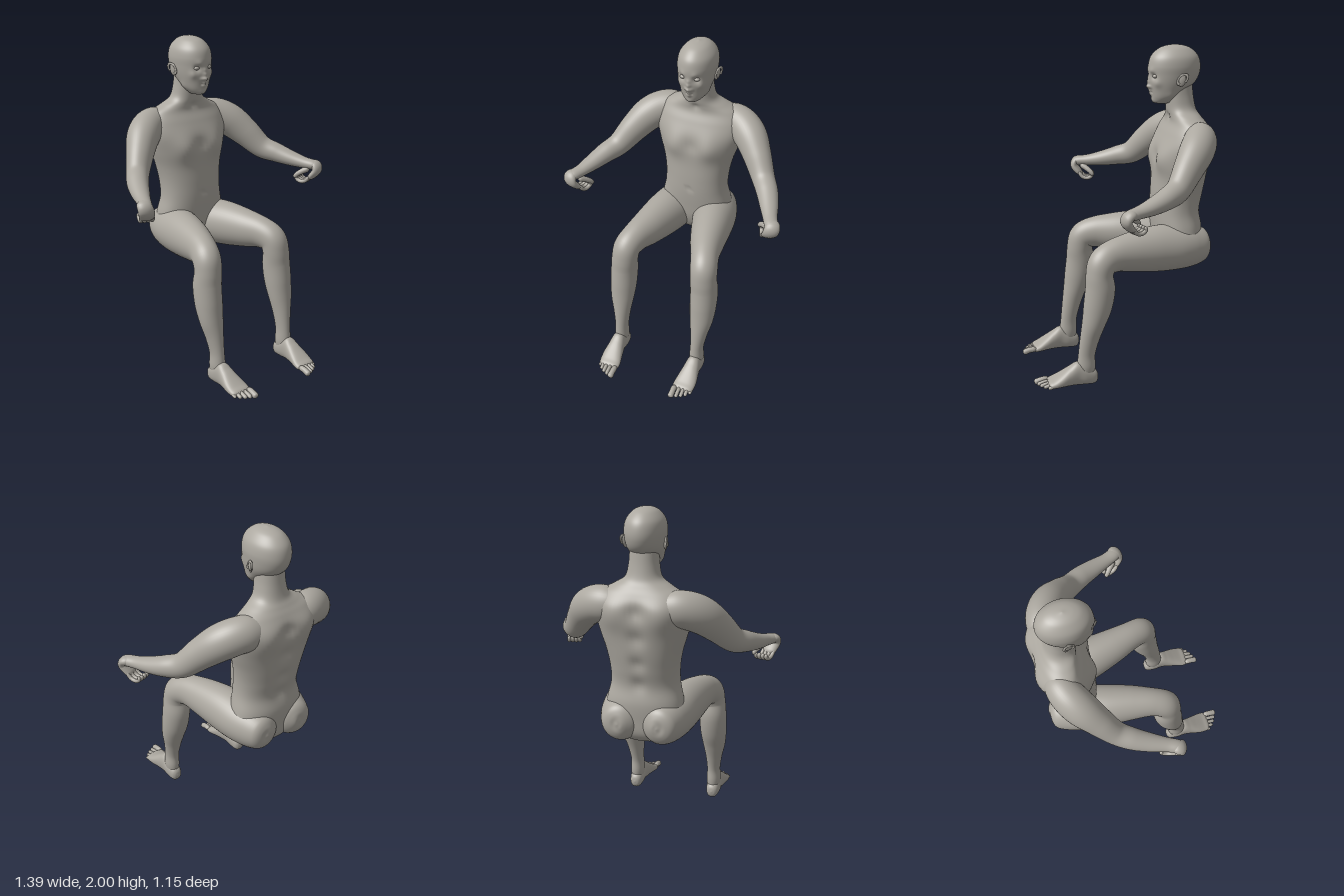
import * as THREE from 'three';

const skin = new THREE.MeshStandardMaterial({ color: 0xaca8a0 });
skin.name = 'skin';
const V = (x, y, z) => new THREE.Vector3(x, y, z);

// Smooth skin through sections [x, y, z, radiusA, radiusB].
// ref: direction of radiusA, axis: fixed ring normal, dome: rounded end length (0..1),
// n: squareness of the section, bumps: [x, y, z, size, dx, dy, dz] soft pushes.
function loft(name, sections, { ref = V(1, 0, 0), axis = null, dome = 0, n = 2, around = 32, steps = 8, bumps = [] } = {}) {
  const path = new THREE.CatmullRomCurve3(sections.map(s => V(s[0], s[1], s[2])), false, 'catmullrom', 0.5);
  const size = new THREE.CatmullRomCurve3(sections.map(s => V(s[3], s[4] ?? s[3], 0)), false, 'catmullrom', 0.5);
  const rows = (sections.length - 1) * steps;
  const pos = [], index = [];
  const power = v => Math.sign(v) * Math.pow(Math.abs(v), 2 / n);
  const push = p => {
    const q = p.clone();
    for (const [x, y, z, r, dx, dy, dz] of bumps) {
      for (const m of x === 0 ? [1] : [1, -1]) {
        const w = Math.exp(-q.distanceToSquared(V(x * m, y, z)) / (r * r));
        p.add(V(dx * m * w, dy * w, dz * w));
      }
    }
    pos.push(p.x, p.y, p.z);
  };
  for (let i = 0; i <= rows; i++) {
    let u = i / rows;
    if (dome) u = (1 - Math.cos(u * Math.PI)) / 2; // denser rings near the ends
    const c = path.getPoint(u), r = size.getPoint(u);
    const t = axis ? axis.clone() : path.getTangent(u);
    const a = ref.clone().addScaledVector(t, -ref.dot(t)).normalize();
    const b = t.clone().cross(a);
    const e = dome ? Math.min(1, u / dome, (1 - u) / dome) : 1;
    const k = Math.sqrt(Math.max(0, 1 - (1 - e) ** 2));
    for (let j = 0; j < around; j++) {
      const th = j / around * Math.PI * 2;
      push(c.clone().addScaledVector(a, power(Math.cos(th)) * Math.max(r.x, 0.001) * k)
        .addScaledVector(b, power(Math.sin(th)) * Math.max(r.y, 0.001) * k));
    }
  }
  for (let i = 0; i < rows; i++) for (let j = 0; j < around; j++) {
    const p = i * around + j, q = i * around + (j + 1) % around;
    index.push(p, q, p + around, q, q + around, p + around);
  }
  // close both ends
  const first = pos.length / 3, last = rows * around;
  push(path.getPoint(0));
  push(path.getPoint(1));
  for (let j = 0; j < around; j++) {
    const k = (j + 1) % around;
    index.push(first, k, j, first + 1, last + j, last + k);
  }
  const g = new THREE.BufferGeometry();
  g.setAttribute('position', new THREE.Float32BufferAttribute(pos, 3));
  g.setIndex(index);
  g.computeVertexNormals();
  const mesh = new THREE.Mesh(g, skin);
  mesh.name = name;
  return mesh;
}

function ball(name, p, scale, rot = [0, 0, 0]) {
  const m = new THREE.Mesh(new THREE.SphereGeometry(1, 24, 16), skin);
  m.name = name;
  m.position.set(...p);
  m.scale.set(...scale);
  m.rotation.set(...rot);
  return m;
}

function makeTorso() {
  return loft('torso', [
    [0, 0.652, -0.40, 0.03, 0.03], [0, 0.67, -0.40, 0.12, 0.08], [0, 0.72, -0.395, 0.20, 0.12],
    [0, 0.80, -0.385, 0.235, 0.14], [0, 0.90, -0.382, 0.225, 0.148], [0, 1.0, -0.372, 0.203, 0.143],
    [0, 1.1, -0.382, 0.203, 0.15], [0, 1.2, -0.394, 0.22, 0.155], [0, 1.3, -0.402, 0.25, 0.158],
    [0, 1.4, -0.412, 0.275, 0.155], [0, 1.48, -0.428, 0.275, 0.137], [0, 1.54, -0.43, 0.235, 0.108],
    [0, 1.58, -0.418, 0.165, 0.095], [0, 1.62, -0.403, 0.105, 0.088], [0, 1.69, -0.392, 0.086, 0.084],
    [0, 1.78, -0.385, 0.08, 0.08],
  ], {
    axis: V(0, 1, 0), ref: V(1, 0, 0), n: 2.2, around: 72, steps: 6,
    bumps: [
      [0.115, 1.33, -0.25, 0.075, 0, 0, 0.025], // chest
      [0, 1.34, -0.24, 0.04, 0, 0, -0.01],
      [0.14, 1.43, -0.55, 0.09, 0, 0, -0.025], // shoulder blades
      [0, 1.45, -0.57, 0.045, 0, 0, 0.02], // spine
      [0, 1.3, -0.56, 0.045, 0, 0, 0.016], [0, 1.15, -0.54, 0.04, 0, 0, 0.014],
      [0, 1.02, -0.52, 0.04, 0, 0, 0.012],
      [0, 1.03, -0.23, 0.014, 0, 0, -0.012], // navel
      [0, 1.575, -0.32, 0.02, 0, 0, -0.012], // throat hollow
    ],
  });
}

function makeHead() {
  const head = new THREE.Group();
  head.name = 'head';
  head.add(loft('skullAndFace', [
    [0, 1.652, -0.29, 0.012, 0.015], [0, 1.66, -0.288, 0.042, 0.052], [0, 1.69, -0.292, 0.068, 0.070],
    [0, 1.735, -0.322, 0.091, 0.110], [0, 1.78, -0.345, 0.106, 0.142], [0, 1.83, -0.356, 0.114, 0.156],
    [0, 1.88, -0.358, 0.117, 0.158], [0, 1.93, -0.358, 0.106, 0.144], [0, 1.97, -0.358, 0.076, 0.106],
    [0, 1.99, -0.358, 0.045, 0.063], [0, 2.0, -0.358, 0.003, 0.004],
  ], {
    axis: V(0, 1, 0), around: 112, steps: 11,
    bumps: [
      [0, 1.757, -0.205, 0.015, 0, 0, 0.022], [0, 1.785, -0.2, 0.014, 0, 0, 0.013], // nose
      [0, 1.81, -0.2, 0.013, 0, 0, 0.007], [0.018, 1.756, -0.21, 0.01, 0, 0, 0.007],
      [0.045, 1.822, -0.21, 0.021, 0, 0, -0.016], // eye sockets
      [0.04, 1.848, -0.205, 0.02, 0, 0, 0.006], // brows
      [0.07, 1.78, -0.235, 0.024, 0.003, 0, 0.007], // cheeks
      [0, 1.732, -0.215, 0.013, 0, 0, 0.012], [0, 1.714, -0.22, 0.012, 0, 0, 0.011], // lips
      [0.015, 1.723, -0.215, 0.006, 0, 0, -0.006], [0, 1.723, -0.21, 0.005, 0, 0, -0.006],
      [0, 1.675, -0.235, 0.025, 0, 0, 0.008], // chin
      [0.07, 1.70, -0.32, 0.035, 0.01, 0, 0], // jaw
    ],
  }));
  for (const s of [1, -1]) {
    head.add(ball('eyelid', [0.043 * s, 1.822, -0.226], [0.019, 0.012, 0.014]));
    head.add(ball('ear', [0.116 * s, 1.803, -0.368], [0.010, 0.038, 0.024], [-0.2, -0.35 * s, 0.12 * -s]));
    const rim = new THREE.Mesh(new THREE.TorusGeometry(0.022, 0.0055, 8, 28, Math.PI * 1.6), skin);
    rim.name = 'earRim';
    rim.position.set(0.123 * s, 1.808, -0.37);
    rim.rotation.set(-0.2, Math.PI / 2 - 0.35 * s, -0.6);
    rim.scale.set(1, 1.6, 1);
    head.add(rim);
  }
  return head;
}

function makeArm(s) {
  const arm = new THREE.Group();
  arm.name = s > 0 ? 'leftArm' : 'rightArm';
  const flip = list => list.map(([x, ...rest]) => [x * s, ...rest]);
  arm.add(loft('upperArmAndForearm', flip([
    [0.10, 1.46, -0.465, 0.06, 0.06], [0.18, 1.463, -0.462, 0.10, 0.09], [0.26, 1.455, -0.435, 0.107, 0.10],
    [0.335, 1.415, -0.385, 0.105, 0.10], [0.405, 1.34, -0.315, 0.092, 0.085], [0.475, 1.25, -0.235, 0.074, 0.070],
    [0.53, 1.218, -0.15, 0.062, 0.065], [0.575, 1.193, -0.055, 0.048, 0.055], [0.61, 1.178, 0.03, 0.036, 0.043],
    [0.638, 1.172, 0.09, 0.031, 0.040], [0.65, 1.166, 0.115, 0.022, 0.032],
  ]), { ref: V(0, 1, 0), around: 40 }));

  // bent hand with curled fingers
  const across = V(0.95 * s, 0, -0.3);
  arm.add(loft('palm', flip([
    [0.625, 1.178, 0.055, 0.036, 0.026], [0.648, 1.172, 0.10, 0.044, 0.028], [0.645, 1.14, 0.115, 0.046, 0.026],
    [0.63, 1.105, 0.095, 0.045, 0.022], [0.618, 1.08, 0.07, 0.040, 0.016],
  ]), { ref: across, dome: 0.18, around: 28 }));
  for (let i = 0; i < 4; i++) {
    const u = -0.034 + i * 0.0225, x = 0.615 + u * 0.95, z = -u * 0.3, r = 0.0135 - Math.abs(i - 1) * 0.001;
    arm.add(loft('finger', flip([
      [x + 0.012, 1.105, 0.09 + z, r], [x, 1.072, 0.066 + z, r], [x - 0.012, 1.063, 0.035 + z, r],
      [x - 0.022, 1.078, 0.008 + z, r], [x - 0.022, 1.1, 0.012 + z, r * 0.9],
    ]), { ref: across, dome: 0.15, around: 14, steps: 6 }));
  }
  arm.add(loft('thumb', flip([
    [0.61, 1.15, 0.08, 0.02], [0.58, 1.13, 0.05, 0.018], [0.555, 1.108, 0.025, 0.015], [0.545, 1.085, 0.01, 0.012],
  ]), { ref: V(0, 0, 1), dome: 0.15, around: 14 }));
  return arm;
}

function makeLeg(s) {
  const leg = new THREE.Group();
  leg.name = s > 0 ? 'leftLeg' : 'rightLeg';
  const flip = list => list.map(([x, ...rest]) => [x * s, ...rest]);
  // buttock, thigh, knee and calf in one skin
  leg.add(loft('thighAndCalf', flip([
    [0.115, 0.785, -0.560, 0.004, 0.004], [0.115, 0.785, -0.552, 0.055, 0.06], [0.118, 0.785, -0.52, 0.100, 0.105],
    [0.125, 0.785, -0.44, 0.127, 0.132], [0.142, 0.79, -0.33, 0.138, 0.142], [0.168, 0.797, -0.20, 0.127, 0.141],
    [0.20, 0.802, -0.05, 0.107, 0.122], [0.232, 0.80, 0.07, 0.088, 0.100], [0.256, 0.77, 0.145, 0.084, 0.090],
    [0.264, 0.70, 0.17, 0.083, 0.082], [0.27, 0.61, 0.168, 0.085, 0.090], [0.272, 0.50, 0.185, 0.083, 0.086],
    [0.272, 0.40, 0.21, 0.073, 0.071], [0.267, 0.30, 0.234, 0.054, 0.059], [0.263, 0.20, 0.252, 0.042, 0.052],
    [0.263, 0.12, 0.256, 0.045, 0.056], [0.263, 0.06, 0.256, 0.038, 0.05],
  ]), { around: 48 }));
  leg.add(loft('foot', flip([
    [0.264, 0.048, 0.184, 0.004, 0.004], [0.264, 0.048, 0.191, 0.024, 0.030], [0.264, 0.05, 0.21, 0.038, 0.048],
    [0.264, 0.064, 0.26, 0.046, 0.062], [0.264, 0.078, 0.31, 0.046, 0.074], [0.263, 0.066, 0.36, 0.054, 0.060],
    [0.262, 0.05, 0.41, 0.064, 0.043], [0.258, 0.036, 0.455, 0.068, 0.029], [0.256, 0.030, 0.485, 0.061, 0.021],
    [0.254, 0.027, 0.50, 0.03, 0.010],
  ]), { axis: V(0, 0, 1), n: 2.3, around: 36 }));
  // toes, from the big one outwards
  [[0.209, 0.568, 0.019], [0.241, 0.556, 0.0125], [0.267, 0.543, 0.012], [0.291, 0.525, 0.0115], [0.312, 0.50, 0.011]]
    .forEach(([x, z, r], i) => leg.add(loft(i ? 'toe' : 'bigToe', flip([
      [x - 0.002, 0.034, z - 0.09, r], [x, 0.034, z - 0.05, r * 0.95], [x, 0.026, z - 0.02, r], [x, 0.020, z, r],
    ]), { dome: 0.22, around: 16 })));
  return leg;
}

export function createModel() {
  const model = new THREE.Group();
  model.name = 'seatedFigure';
  model.add(makeTorso(), makeHead());
  for (const s of [1, -1]) model.add(makeArm(s), makeLeg(s));
  return model;
}
